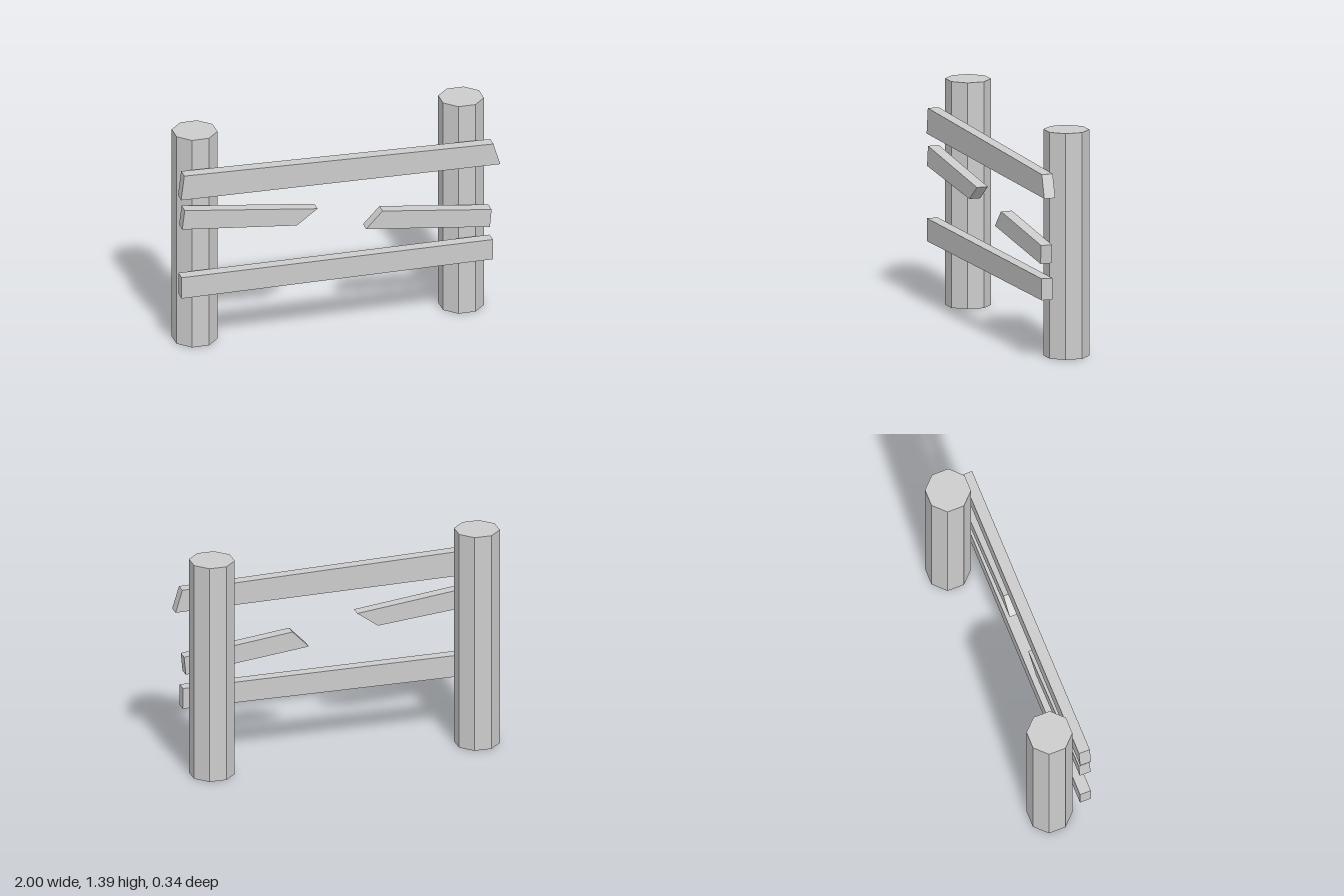
import * as THREE from 'three';

const material = new THREE.MeshStandardMaterial({ color: 0xcccccc, flatShading: true });

// Upright octagonal post with flats facing the axes
function makePost(name, x) {
  const radius = 0.128 / Math.cos(Math.PI / 8);
  const geometry = new THREE.CylinderGeometry(radius, radius, 1.39, 8, 1, false, Math.PI / 8);
  const post = new THREE.Mesh(geometry, material);
  post.name = name;
  post.position.set(x, 0.695, -0.042);
  return post;
}

// Plank cut from a four-cornered outline, nailed to the front of the posts
function makeRail(name, corners) {
  const shape = new THREE.Shape(corners.map(([x, y]) => new THREE.Vector2(x, y)));
  const geometry = new THREE.ExtrudeGeometry(shape, { depth: 0.07, bevelEnabled: false });
  const rail = new THREE.Mesh(geometry, material);
  rail.name = name;
  rail.position.z = 0.1;
  return rail;
}

export function createModel() {
  const fence = new THREE.Group();
  fence.name = 'brokenFence';

  fence.add(makePost('rightPost', -0.855), makePost('leftPost', 0.815));

  // Corners run counter-clockwise from the lower -x end
  const rails = {
    topRail: [[-1, 1.04], [1, 1.012], [0.957, 1.153], [-0.98, 1.2]],
    brokenRailRight: [[-0.993, 0.843], [-0.275, 0.773], [-0.145, 0.868], [-0.977, 0.968]],
    brokenRailLeft: [[0.16, 0.69], [0.935, 0.6], [0.946, 0.715], [0.263, 0.797]],
    bottomRail: [[-0.997, 0.38], [0.955, 0.38], [0.953, 0.512], [-0.997, 0.52]],
  };
  for (const [name, corners] of Object.entries(rails)) fence.add(makeRail(name, corners));

  return fence;
}
